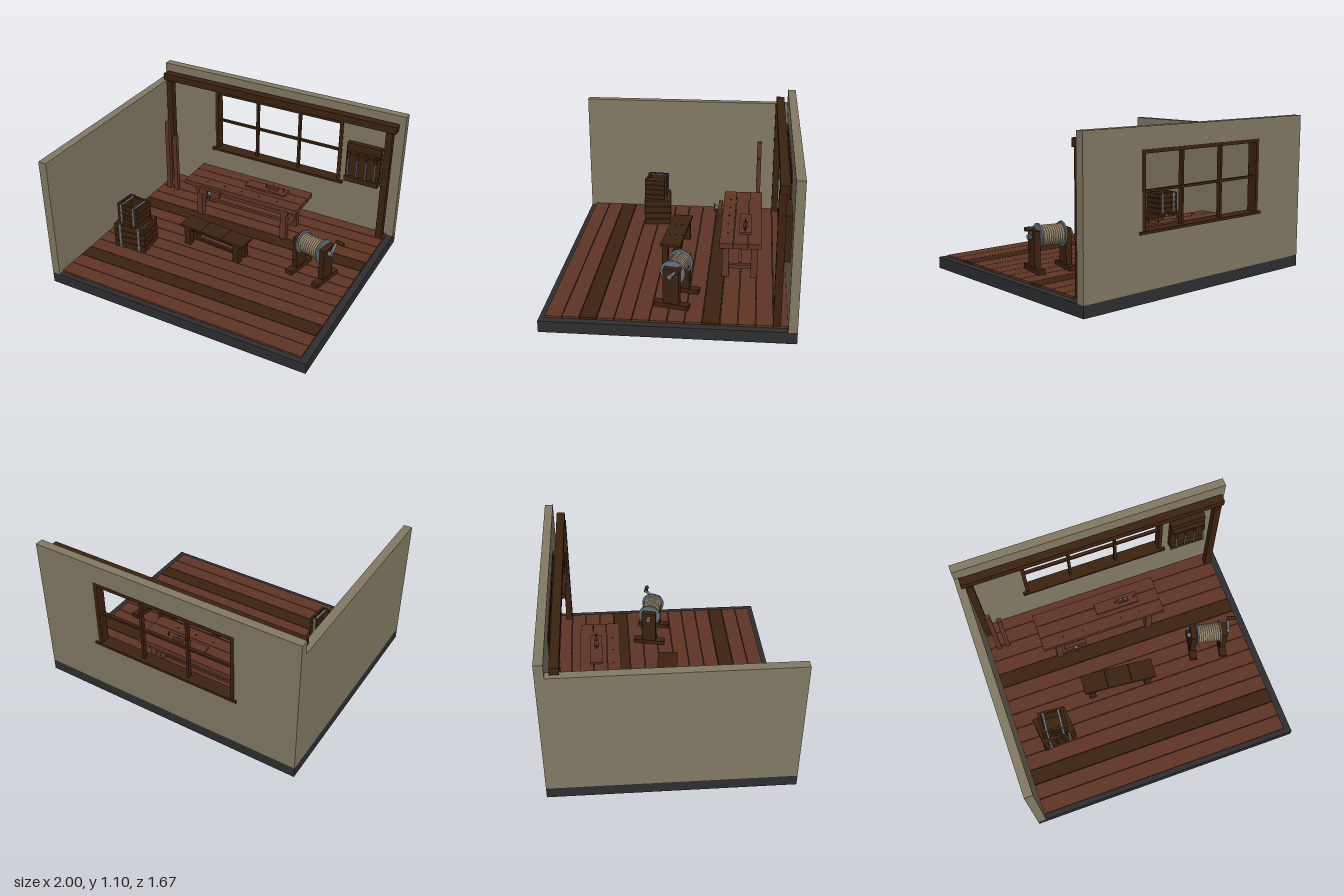
import * as THREE from 'three';

const mat = (name, color) => {
  const m = new THREE.MeshStandardMaterial({ color });
  m.name = name;
  return m;
};

export function createModel() {
  const stone = mat('dark stone', 0x2e2e30);
  const plaster = mat('plaster', 0x837a64);
  const redWood = mat('red wood', 0x603525);
  const darkWood = mat('dark wood', 0x3c220f);
  const metal = mat('steel', 0x66727f);
  const rope = mat('rope', 0xa59474);

  const root = new THREE.Group();
  root.name = 'workshop';

  const group = (name, x = 0, y = 0, z = 0, turn = 0, parent = root) => {
    const g = new THREE.Group();
    g.name = name;
    g.position.set(x, y, z);
    g.rotation.y = turn;
    parent.add(g);
    return g;
  };
  const add = (parent, name, geometry, material) => {
    const m = new THREE.Mesh(geometry, material);
    m.name = name;
    parent.add(m);
    return m;
  };
  // Box given by its limits on each axis
  const box = (parent, name, material, x0, x1, y0, y1, z0, z1) => {
    const m = add(parent, name, new THREE.BoxGeometry(x1 - x0, y1 - y0, z1 - z0), material);
    m.position.set((x0 + x1) / 2, (y0 + y1) / 2, (z0 + z1) / 2);
    return m;
  };
  // Cylinder between two points
  const rod = (parent, name, material, a, b, r, r2 = r, sides = 16) => {
    const p = new THREE.Vector3(...a), q = new THREE.Vector3(...b);
    const d = q.clone().sub(p);
    const m = add(parent, name, new THREE.CylinderGeometry(r2, r, d.length(), sides), material);
    m.position.copy(p).add(q).multiplyScalar(0.5);
    m.quaternion.setFromUnitVectors(new THREE.Vector3(0, 1, 0), d.normalize());
    return m;
  };

  // Room shell
  box(root, 'base', stone, -1, 1, 0, 0.08, -0.83, 0.83);
  box(root, 'sideWall', plaster, -1, -0.94, 0.08, 1.0, -0.77, 0.83);
  const wall = new THREE.Shape([[-1, 0.08], [1, 0.08], [1, 1.1], [-1, 1.1]].map(p => new THREE.Vector2(...p)));
  wall.holes.push(new THREE.Path([[-0.535, 0.45], [-0.535, 0.95], [0.53, 0.95], [0.53, 0.45]].map(p => new THREE.Vector2(...p))));
  add(root, 'backWall', new THREE.ExtrudeGeometry(wall, { depth: 0.06, bevelEnabled: false }), plaster).position.z = -0.83;

  // Floor planks with two dark rows
  const floor = group('floor');
  for (let i = 0; i < 14; i++) {
    const z = -0.789 + i * 0.1132;
    box(floor, 'floorPlank', i === 4 || i === 11 ? darkWood : redWood,
      -0.94, 0.95, 0.08, 0.094, Math.max(z, -0.77), z + 0.109);
  }

  // Window frame, bars and sill
  const win = group('window');
  for (const x of [-0.545, 0.51]) box(win, 'frameSide', darkWood, x, x + 0.027, 0.455, 0.96, -0.832, -0.762);
  box(win, 'frameTop', darkWood, -0.518, 0.51, 0.935, 0.96, -0.832, -0.762);
  for (const x of [-0.184, 0.174]) box(win, 'uprightBar', darkWood, x - 0.009, x + 0.009, 0.455, 0.935, -0.815, -0.785);
  box(win, 'crossBar', darkWood, -0.518, 0.51, 0.692, 0.708, -0.812, -0.788);
  box(win, 'sill', darkWood, -0.567, 0.562, 0.44, 0.458, -0.842, -0.745);

  // Posts and beam
  const timber = group('timberFrame');
  for (const x of [-0.915, 0.915]) box(timber, 'post', darkWood, x - 0.025, x + 0.025, 0.094, 0.997, -0.726, -0.676);
  box(timber, 'beam', darkWood, -0.968, 0.962, 0.995, 1.05, -0.742, -0.682);

  // Loose boards standing in the corner
  box(root, 'tallBoard', redWood, -0.887, -0.853, 0.094, 0.7, -0.577, -0.543);
  box(root, 'shortBoard', redWood, -0.82, -0.786, 0.094, 0.58, -0.577, -0.543);

  // Workbench
  const bench = group('workbench');
  for (let i = 0; i < 3; i++) {
    const z = -0.592 + i * 0.0975;
    box(bench, 'benchTopPlank', redWood, -0.56, 0.39, 0.352, 0.39, z, z + 0.094);
  }
  for (const x of [-0.445, 0.278]) {
    for (const z of [-0.545, -0.345]) box(bench, 'benchLeg', redWood, x - 0.024, x + 0.024, 0.094, 0.352, z - 0.024, z + 0.024);
    box(bench, 'sideStretcher', redWood, x - 0.014, x + 0.014, 0.155, 0.183, -0.521, -0.369);
  }
  for (const z of [-0.57, -0.345]) box(bench, 'apron', redWood, -0.482, 0.315, 0.313, 0.352, z, z + 0.025);
  box(bench, 'longStretcher', redWood, -0.42, 0.254, 0.164, 0.185, -0.455, -0.433);
  for (let i = 0; i < 5; i++) rod(bench, 'benchDog', darkWood, [-0.39 + i * 0.15, 0.385, -0.355], [-0.39 + i * 0.15, 0.394, -0.355], 0.007, 0.007, 8);

  // Vise on the bench front
  const vise = group('vise');
  box(vise, 'viseBlock', redWood, -0.385, -0.265, 0.328, 0.352, -0.325, -0.29);
  box(vise, 'viseJaw', redWood, -0.41, -0.24, 0.324, 0.376, -0.292, -0.265);
  rod(vise, 'viseScrew', metal, [-0.325, 0.35, -0.3], [-0.325, 0.35, -0.238], 0.012, 0.012, 10);
  rod(vise, 'viseCollar', metal, [-0.325, 0.35, -0.265], [-0.325, 0.35, -0.238], 0.018, 0.006, 10);
  rod(vise, 'viseHandle', redWood, [-0.325, 0.32, -0.235], [-0.325, 0.38, -0.235], 0.007, 0.007, 8);

  // Board and hand plane on the bench
  const plane = group('handPlane');
  box(plane, 'workBoard', redWood, -0.1, 0.23, 0.39, 0.405, -0.52, -0.433);
  box(plane, 'planeBody', redWood, 0.08, 0.16, 0.405, 0.426, -0.488, -0.46);
  box(plane, 'planeBlade', metal, 0.1, 0.14, 0.426, 0.432, -0.48, -0.468);
  rod(plane, 'planeKnob', redWood, [0.12, 0.426, -0.474], [0.12, 0.443, -0.474], 0.007, 0.007, 8);
  for (const x of [0.06, 0.205]) rod(plane, 'boardPeg', darkWood, [x, 0.4, -0.475], [x, 0.438, -0.475], 0.004, 0.004, 8);

  // Tool rack on the back wall
  const rack = group('toolRack');
  box(rack, 'rackBoard', darkWood, 0.59, 0.856, 0.5, 0.815, -0.77, -0.728);
  box(rack, 'rackRail', darkWood, 0.6, 0.846, 0.735, 0.755, -0.728, -0.7);
  box(rack, 'rackShelf', darkWood, 0.59, 0.856, 0.502, 0.544, -0.728, -0.705);
  for (const x of [0.622, 0.692, 0.762, 0.832]) {
    rod(rack, 'toolHandle', darkWood, [x, 0.71, -0.69], [x, 0.765, -0.69], 0.01, 0.01, 8);
    box(rack, 'toolBlade', metal, x - 0.006, x + 0.006, 0.56, 0.71, -0.694, -0.686);
  }

  // Slatted open crate with metal straps, w by h by d
  const crate = (name, x, y, z, turn, w, h, d) => {
    const g = group(name, x, y, z, turn);
    const t = 0.014, n = 4, step = h / n;
    box(g, 'crateBottom', darkWood, -w / 2 + t, w / 2 - t, 0, t, -d / 2 + t, d / 2 - t);
    for (let i = 0; i < n; i++) {
      const y0 = i * step, y1 = y0 + step - 0.004;
      for (const s of [-1, 1]) {
        box(g, 'crateSlat', darkWood, -w / 2, w / 2, y0, y1, s * (d / 2 - t / 2) - t / 2, s * (d / 2 - t / 2) + t / 2);
        const cx = s * (w / 2 - t / 2);
        box(g, 'crateEndSlat', darkWood, cx - t / 2, cx + t / 2, y0, y1, -d / 2 + t, d / 2 - t);
      }
    }
    // Liner closing the gaps between slats
    for (const s of [-1, 1]) {
      const cz = s * (d / 2 - t - 0.003), cx = s * (w / 2 - t - 0.003);
      box(g, 'crateLiner', darkWood, -w / 2 + t, w / 2 - t, 0, h - 0.008, cz - 0.003, cz + 0.003);
      box(g, 'crateLiner', darkWood, cx - 0.003, cx + 0.003, 0, h - 0.008, -d / 2 + t, d / 2 - t);
      for (const f of [-1, 1]) {
        const sx = s * w * 0.3, sz = f * (d / 2 + 0.002);
        box(g, 'crateStrap', metal, sx - 0.008, sx + 0.008, 0, h, sz - 0.003, sz + 0.003);
      }
      box(g, 'topStrap', metal, s * w * 0.3 - 0.008, s * w * 0.3 + 0.008, h - 0.012, h - 0.006, -d / 2 + t, d / 2 - t);
    }
    return g;
  };
  const lower = crate('lowerCrate', -0.67, 0.094, 0.238, 0.1, 0.25, 0.203, 0.205);
  box(lower, 'crateLid', darkWood, -0.115, 0.115, 0.185, 0.2, -0.092, 0.092);
  crate('upperCrate', -0.67, 0.297, 0.245, -0.09, 0.187, 0.16, 0.155);

  // Low bench
  const seat = group('lowBench', -0.098, 0, 0.032, -0.088);
  for (let i = 0; i < 3; i++) {
    const x = -0.275 + i * 0.1835;
    box(seat, 'seatPlank', darkWood, x, x + 0.181, 0.24, 0.258, -0.073, 0.073);
  }
  for (const s of [-1, 1]) {
    for (const z of [-0.045, 0.045]) box(seat, 'seatLeg', darkWood, s * 0.215 - 0.025, s * 0.215 + 0.025, 0.094, 0.24, z - 0.022, z + 0.022);
    box(seat, 'seatRail', darkWood, -0.19, 0.19, 0.222, 0.24, s * 0.05 - 0.009, s * 0.05 + 0.009);
  }
  box(seat, 'seatStretcher', darkWood, -0.215, 0.215, 0.12, 0.14, -0.012, 0.012);

  // Rope winch
  const winch = group('winch', 0.648, 0, -0.038, -0.22);
  const axis = 0.332;
  for (const s of [-1, 1]) {
    const x = s * 0.115;
    box(winch, 'winchFoot', darkWood, x - 0.027, x + 0.027, 0.094, 0.126, -0.12, 0.12);
    box(winch, 'winchUpright', darkWood, x - 0.021, x + 0.021, 0.126, 0.374, -0.054, 0.054);
    rod(winch, 'drumFlange', metal, [s * 0.08, axis, 0], [s * 0.092, axis, 0], 0.086, 0.086, 24);
  }
  rod(winch, 'axle', metal, [-0.163, axis, 0], [0.163, axis, 0], 0.017);
  rod(winch, 'drum', rope, [-0.08, axis, 0], [0.08, axis, 0], 0.064, 0.064, 24);
  for (let i = 0; i < 10; i++) {
    const turn = add(winch, 'ropeTurn', new THREE.TorusGeometry(0.064, 0.0082, 6, 24), rope);
    turn.position.set(-0.072 + i * 0.016, axis, 0);
    turn.rotation.y = Math.PI / 2;
  }
  rod(winch, 'crankArm', metal, [0.153, axis - 0.01, 0.01], [0.153, 0.405, -0.073], 0.011, 0.011, 8);
  rod(winch, 'crankHandle', darkWood, [0.145, 0.4, -0.068], [0.208, 0.4, -0.068], 0.015, 0.015, 10);

  return root;
}
